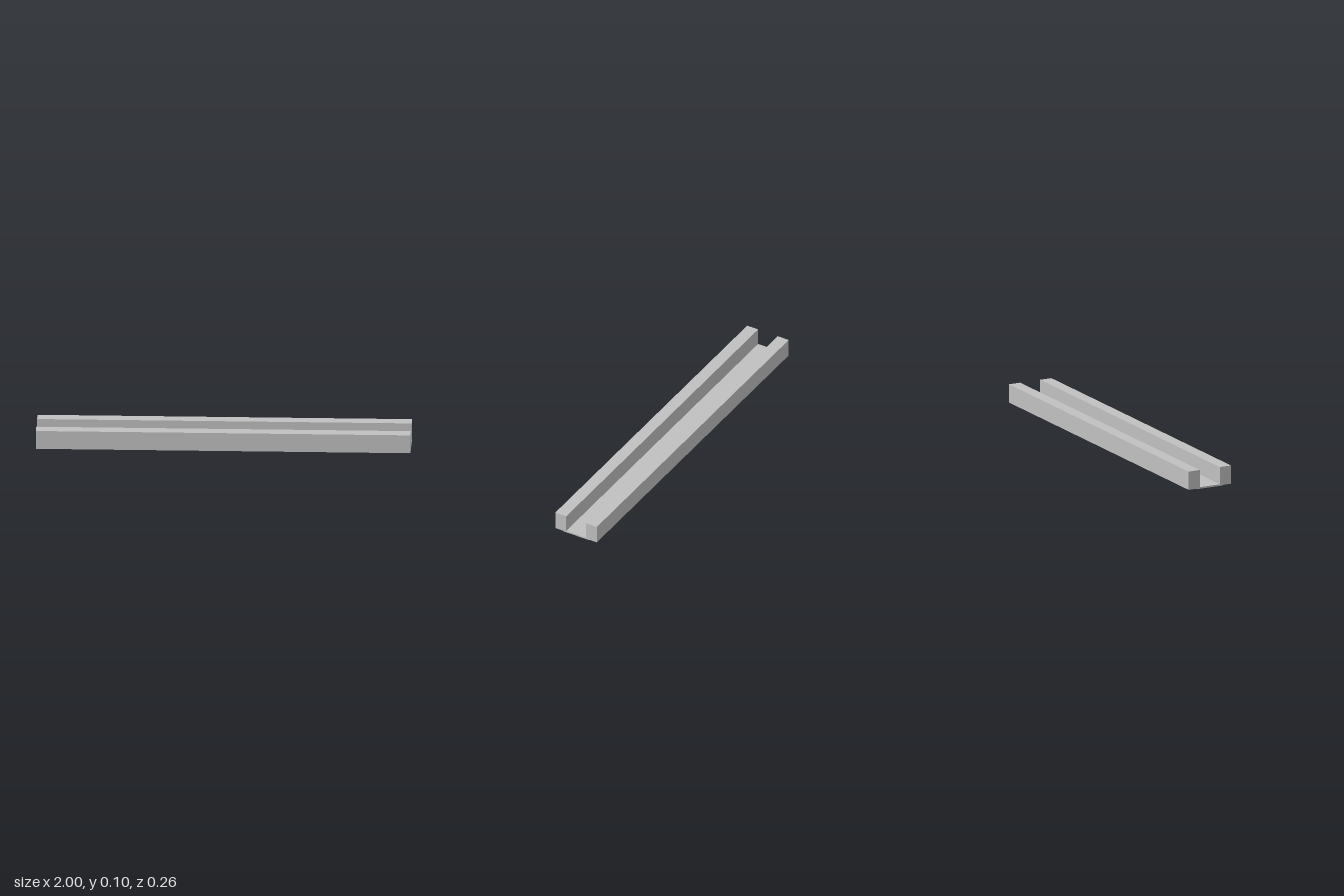
import * as THREE from 'three';

export function createModel() {
  const model = new THREE.Group();
  model.name = 'channelTrack';
  const grey = new THREE.MeshStandardMaterial({ color: 0xc0c0c0 });
  grey.name = 'light grey';

  const LENGTH = 2;

  // A bar running the full length in x, given by its y and z extents
  function bar(name, y0, y1, z0, z1) {
    const mesh = new THREE.Mesh(new THREE.BoxGeometry(LENGTH, y1 - y0, z1 - z0), grey);
    mesh.name = name;
    mesh.position.set(0, (y0 + y1) / 2, (z0 + z1) / 2);
    model.add(mesh);
  }

  // Thin plate joining the two rails, reaching a little under each
  bar('basePlate', 0, 0.009, -0.08, 0.08);

  // Side rails, raised slightly above the underside of the plate
  bar('frontRail', 0.003, 0.104, 0.061, 0.129);
  bar('backRail', 0.003, 0.104, -0.129, -0.061);

  return model;
}
